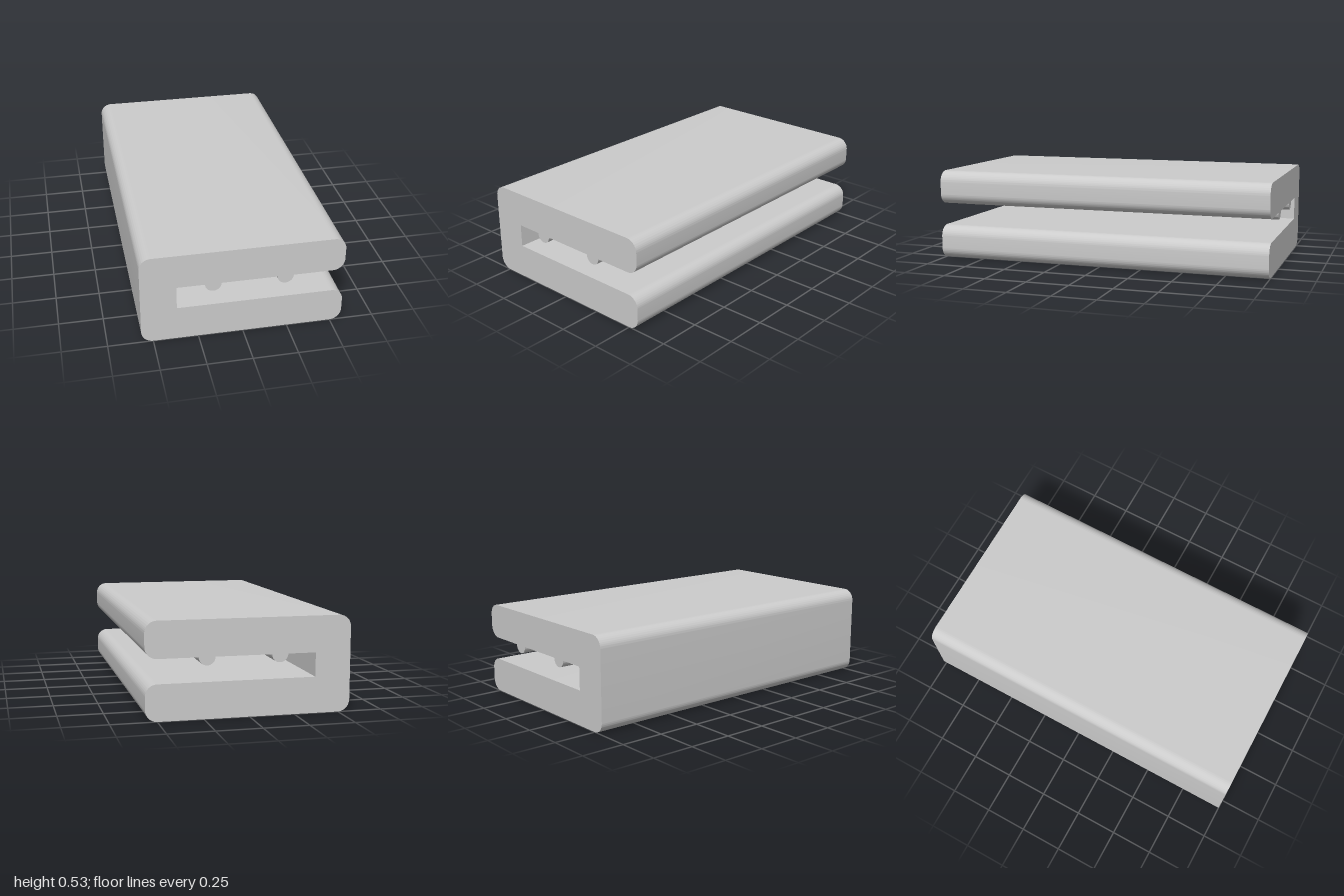
import * as THREE from 'three';
import { toCreasedNormals } from 'three/addons/utils/BufferGeometryUtils.js';

const HALF_W = 0.565, HEIGHT = 0.533, LENGTH = 2;
const R = 0.066;                                  // outer corner radius
const SLOT = { x: -0.367, bottom: 0.2, top: 0.333 };
const RIDGE_R = 0.045, RIDGES = [0.233, -0.167];  // grip ridges, from mouth inward

export function createModel() {
  const s = new THREE.Shape();
  const corner = (x, y, start) => s.absarc(x, y, R, start, start + Math.PI / 2, false);
  const q = Math.PI / 2, cx = HALF_W - R;

  // C-shaped cross-section, counter-clockwise from the bottom left
  s.moveTo(-cx, 0);
  corner(cx, R, -q);
  corner(cx, SLOT.bottom - R, 0);
  s.lineTo(SLOT.x, SLOT.bottom);
  s.lineTo(SLOT.x, SLOT.top);
  // half-round ridges hanging from the slot's ceiling
  for (const x of [...RIDGES].reverse()) s.absarc(x, SLOT.top, RIDGE_R, Math.PI, 2 * Math.PI, false);
  corner(cx, SLOT.top + R, -q);
  corner(cx, HEIGHT - R, 0);
  corner(-cx, HEIGHT - R, q);
  corner(-cx, R, 2 * q);

  const extruded = new THREE.ExtrudeGeometry(s, { depth: LENGTH, bevelEnabled: false, curveSegments: 16 });
  extruded.translate(0, 0, -LENGTH / 2);

  const clip = new THREE.Mesh(
    toCreasedNormals(extruded, Math.PI / 6),
    new THREE.MeshStandardMaterial({ color: 0xcccccc })
  );
  clip.name = 'clipBody';

  const group = new THREE.Group();
  group.name = 'slottedClip';
  group.add(clip);
  return group;
}
